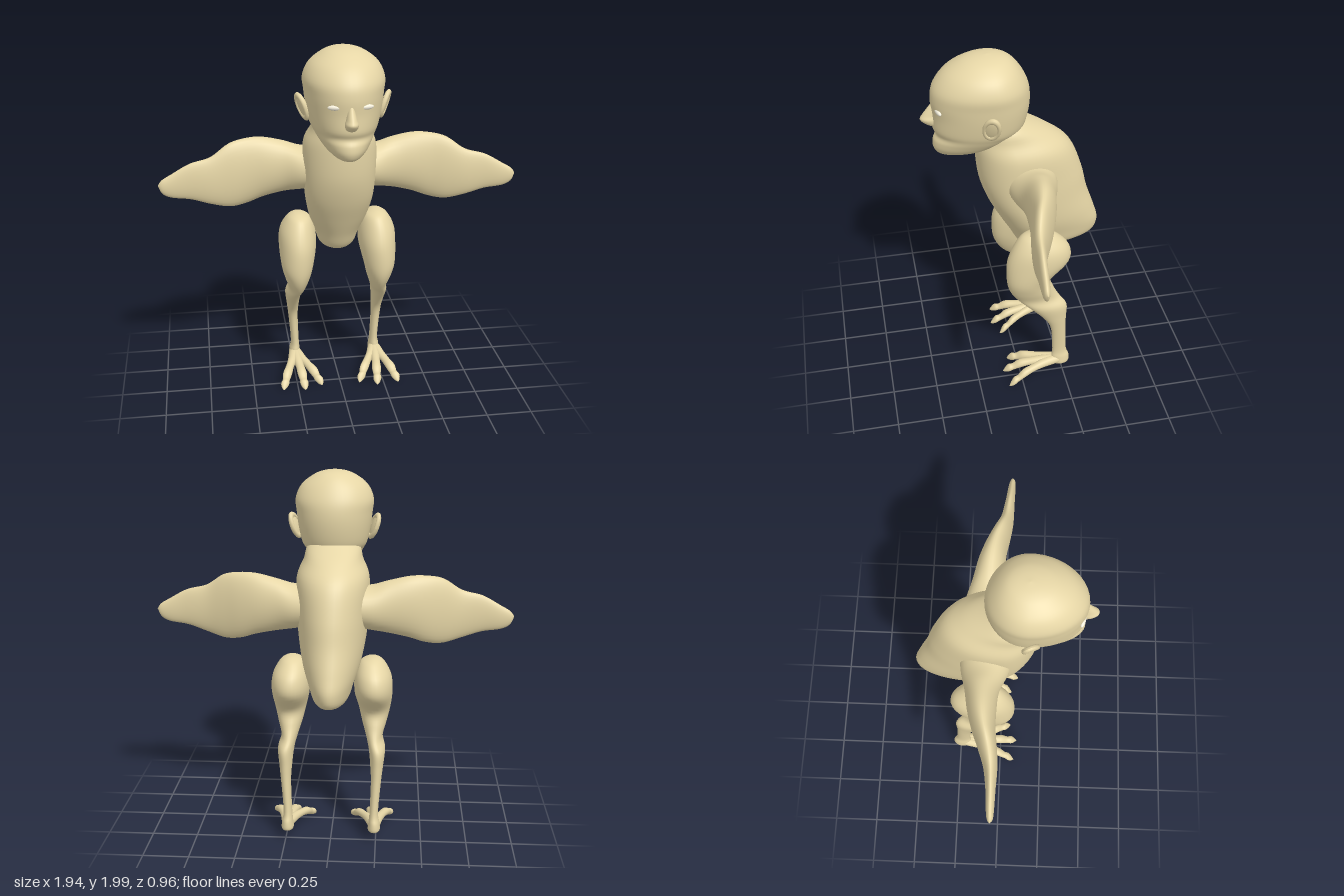
import * as THREE from 'three';
import { mergeGeometries } from 'three/addons/utils/BufferGeometryUtils.js';

const skin = new THREE.MeshStandardMaterial({ color: 0xe6d6a6 });
const eyeWhite = new THREE.MeshStandardMaterial({ color: 0xf5efdc });

// Smooth value between p1 and p2
function spline(p0, p1, p2, p3, t) {
  const m1 = (p2 - p0) / 2, m2 = (p3 - p1) / 2, t2 = t * t, t3 = t2 * t;
  return (2 * t3 - 3 * t2 + 1) * p1 + (t3 - 2 * t2 + t) * m1 + (3 * t2 - 2 * t3) * p2 + (t3 - t2) * m2;
}

// Skin over oval sections. Row: [t, a0, a1, b0, b1, widest a]; t runs along the axis.
// axis x: a = y, b = z;  axis y: a = z, b = x;  axis z: a = x, b = y
function loft(axis, rows, sides = 36, steps = 5) {
  const full = rows.map(r => [...r.slice(0, 5), r[5] ?? (r[1] + r[2]) / 2]);
  const at = i => full[Math.min(Math.max(i, 0), full.length - 1)];
  const rings = [];
  for (let i = 0; i < full.length - 1; i++)
    for (let s = 0; s < steps; s++)
      rings.push(full[0].map((_, k) => spline(at(i - 1)[k], at(i)[k], at(i + 1)[k], at(i + 2)[k], s / steps)));
  rings.push(at(full.length - 1));
  const pos = [], index = [];
  rings.forEach(([t, a0, a1, b0, b1, am], i) => {
    for (let j = 0; j < sides; j++) {
      const w = j / sides * Math.PI * 2, c = Math.cos(w);
      const a = am + c * (c > 0 ? a1 - am : am - a0);
      const b = (b0 + b1) / 2 + Math.sin(w) * (b1 - b0) / 2;
      pos.push(...(axis === 'x' ? [t, a, b] : axis === 'y' ? [b, t, a] : [a, b, t]));
      if (i < rings.length - 1) {
        const k = (j + 1) % sides, p = i * sides, q = p + sides;
        index.push(p + j, p + k, q + k, p + j, q + k, q + j);
      }
    }
  });
  const g = new THREE.BufferGeometry();
  g.setAttribute('position', new THREE.Float32BufferAttribute(pos, 3));
  g.setIndex(index);
  g.computeVertexNormals();
  return g;
}

// Mirrored copy across x = 0, with the faces turned back outward
function mirror(g) {
  const m = g.clone().scale(-1, 1, 1), ix = m.index.array;
  for (let i = 0; i < ix.length; i += 3) [ix[i], ix[i + 1]] = [ix[i + 1], ix[i]];
  m.computeVertexNormals();
  return m;
}

export function createModel() {
  const model = new THREE.Group();
  const add = (name, g, mat = skin) => {
    const mesh = new THREE.Mesh(g, mat);
    mesh.name = name;
    model.add(mesh);
    return mesh;
  };
  const pair = (name, g, mat) => {
    add('left' + name, g, mat);
    return add('right' + name, mirror(g), mat);
  };
  // Symmetric upright section: [y, back, front, half width, widest z]
  const sym = rows => rows.map(([y, z0, z1, w, m]) => [y, z0, z1, -w, w, m]);

  // Hunched torso with pointed rump
  add('torso', loft('y', sym([
    [0.805, -0.15, -0.15, 0, -0.15], [0.815, -0.28, -0.06, 0.06, -0.15],
    [0.845, -0.44, -0.02, 0.1, -0.14], [0.92, -0.48, 0.02, 0.125, -0.13],
    [1.02, -0.455, 0.075, 0.16, -0.08], [1.15, -0.41, 0.14, 0.185, -0.02],
    [1.29, -0.375, 0.185, 0.195, 0], [1.45, -0.31, 0.2, 0.195, 0],
    [1.54, -0.21, 0.195, 0.16, 0.03], [1.62, -0.07, 0.17, 0.13, 0.05],
    [1.7, 0.05, 0.05, 0, 0.05],
  ]), 48));

  // Head
  add('head', loft('y', sym([
    [1.455, 0.29, 0.29, 0, 0.29], [1.465, 0.2, 0.385, 0.055, 0.28],
    [1.5, 0.11, 0.415, 0.105, 0.22], [1.545, 0.02, 0.415, 0.14, 0.17],
    [1.58, -0.03, 0.4, 0.16, 0.15], [1.62, -0.06, 0.415, 0.178, 0.13],
    [1.7, -0.08, 0.415, 0.195, 0.13], [1.78, -0.085, 0.42, 0.205, 0.13],
    [1.85, -0.072, 0.405, 0.21, 0.13], [1.92, -0.035, 0.35, 0.178, 0.13],
    [1.97, 0.01, 0.27, 0.115, 0.13], [1.992, 0.06, 0.2, 0.06, 0.13], [2, 0.13, 0.13, 0, 0.13],
  ]), 48));
  add('nose', loft('y', sym([
    [1.625, 0.4, 0.4, 0], [1.635, 0.37, 0.44, 0.025], [1.665, 0.37, 0.475, 0.034],
    [1.69, 0.37, 0.465, 0.027], [1.73, 0.37, 0.435, 0.018], [1.79, 0.39, 0.39, 0],
  ]), 20));
  const eye = new THREE.SphereGeometry(1, 20, 12).scale(0.036, 0.013, 0.012);
  pair('Eye', eye.rotateY(0.25).translate(0.08, 1.745, 0.391), eyeWhite);

  // Ears: shallow dish with a raised rim, leaning out at the top and back
  const ear = mergeGeometries([
    new THREE.TorusGeometry(0.8, 0.22, 10, 28).rotateY(Math.PI / 2).scale(0.06, 0.076, 0.046),
    new THREE.SphereGeometry(1, 20, 12).scale(0.012, 0.065, 0.038),
  ]);
  pair('Ear', ear.rotateX(-0.15).rotateY(-0.4).rotateZ(-0.3).translate(0.214, 1.695, 0.145));

  // Wings: [x, bottom, top, back, front]
  const wing = loft('x', [
    [0.08, 1.2, 1.42, -0.22, 0.08], [0.2, 1.18, 1.42, -0.2, 0.05],
    [0.3, 1.165, 1.45, -0.17, 0.01], [0.41, 1.14, 1.475, -0.145, 0.005],
    [0.5, 1.11, 1.475, -0.115, 0.01], [0.59, 1.1, 1.455, -0.075, 0.025],
    [0.69, 1.125, 1.39, -0.035, 0.038], [0.8, 1.16, 1.36, -0.012, 0.04],
    [0.9, 1.175, 1.305, 0, 0.042], [0.95, 1.2, 1.275, 0.01, 0.04],
    [0.972, 1.245, 1.245, 0.025, 0.025],
  ], 32);
  const rightWing = pair('Wing', wing);
  // The right wing is swept slightly further back
  const p = rightWing.geometry.attributes.position;
  for (let i = 0; i < p.count; i++) p.setZ(i, p.getZ(i) + 0.06 * Math.min(0, p.getX(i) + 0.1));
  rightWing.geometry.computeVertexNormals();

  // Legs: thigh, backward hock and thin shank; [y, back, front, inner, outer]
  pair('Leg', loft('y', [
    [0.058, -0.24, -0.24, 0.24, 0.24], [0.065, -0.285, -0.19, 0.208, 0.272],
    [0.11, -0.288, -0.185, 0.21, 0.27], [0.17, -0.27, -0.19, 0.215, 0.262],
    [0.34, -0.26, -0.175, 0.22, 0.275], [0.43, -0.26, -0.13, 0.215, 0.285],
    [0.52, -0.26, -0.05, 0.205, 0.295], [0.58, -0.22, 0.015, 0.188, 0.28],
    [0.65, -0.185, 0.06, 0.165, 0.3], [0.73, -0.17, 0.078, 0.145, 0.32],
    [0.84, -0.27, 0.075, 0.122, 0.33], [0.93, -0.265, 0.045, 0.125, 0.322],
    [1, -0.2, 0, 0.15, 0.285], [1.025, -0.15, -0.05, 0.19, 0.25], [1.03, -0.1, -0.1, 0.22, 0.22],
  ], 32));

  // Feet: splayed clawed toes; each spreads from the ankle to its tip
  const toes = [[0.11, 0.06], [0.21, 0.1], [0.335, 0.085]].map(([tipX, tipZ]) => {
    const path = [[0, 0.09, 0], [0.05, 0.09, 0.03], [0.35, 0.083, 0.028], [0.55, 0.075, 0.024],
      [0.72, 0.062, 0.027], [0.83, 0.04, 0.021], [0.9, 0.032, 0.024], [0.96, 0.018, 0.014], [1, 0.008, 0]];
    return loft('z', path.map(([f, y, r]) => {
      const x = 0.24 + (tipX - 0.24) * Math.max(0, (f - 0.15) / 0.85);
      return [-0.25 + (tipZ + 0.25) * f, x - r, x + r, Math.max(0, y - r * 0.9), y + r * 0.9];
    }), 14, 4);
  });
  pair('Foot', mergeGeometries(toes));

  return model;
}
